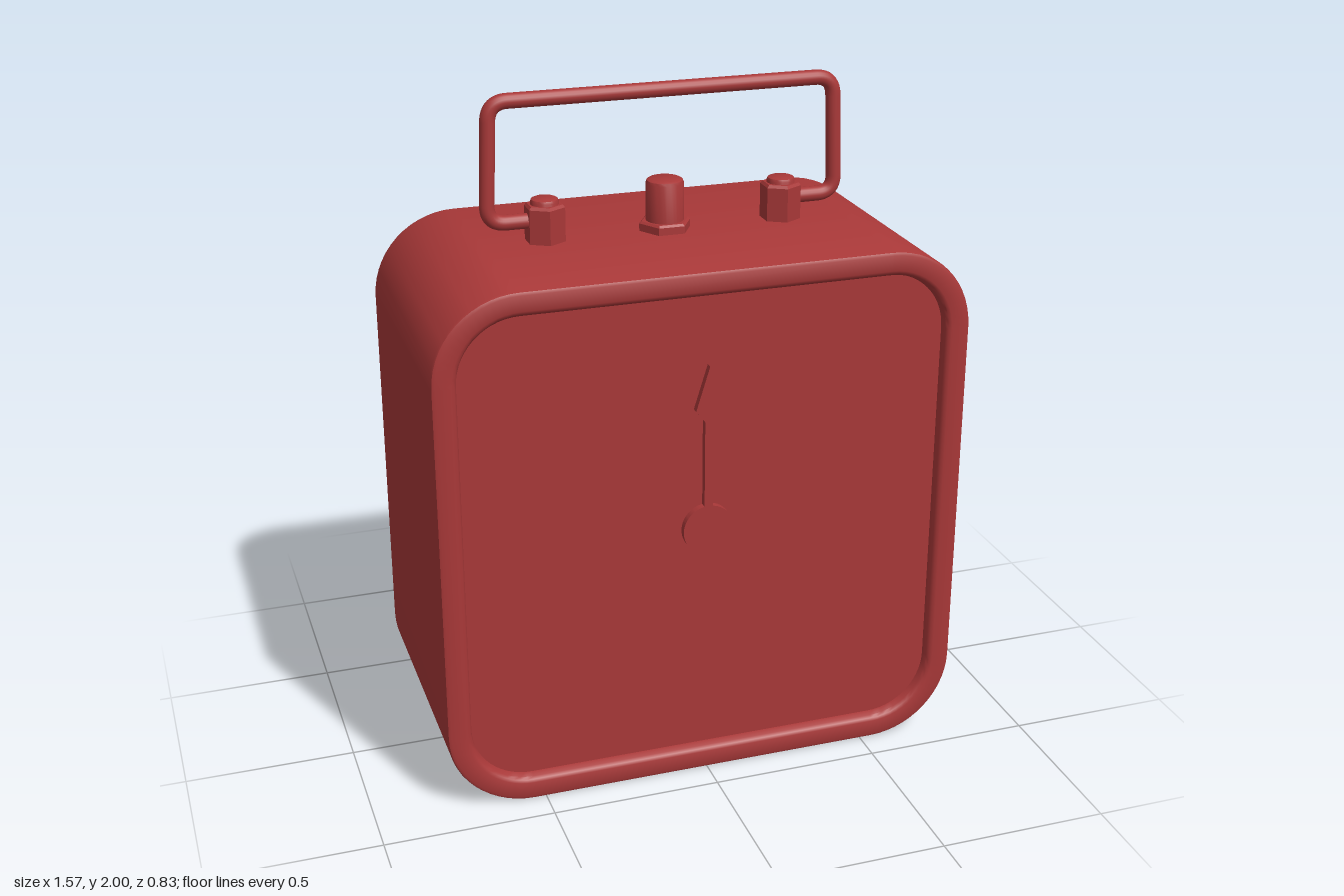
import * as THREE from 'three';
import { toCreasedNormals } from 'three/addons/utils/BufferGeometryUtils.js';

const red = new THREE.MeshStandardMaterial({ color: 0xa83838 });

function part(name, geometry, x = 0, y = 0, z = 0) {
  const mesh = new THREE.Mesh(geometry, red);
  mesh.name = name;
  mesh.position.set(x, y, z);
  return mesh;
}

// Rounded-square rings [inset, z], lofted from back to front and capped
function loftedCase(half, radius, rings) {
  const seg = 14, n = 4 * (seg + 1), pos = [], index = [];
  for (const [inset, z] of rings) {
    const r = radius - inset, c = half - radius;
    for (let q = 0; q < 4; q++) {
      const sx = q === 0 || q === 3 ? 1 : -1, sy = q < 2 ? 1 : -1;
      for (let i = 0; i <= seg; i++) {
        const a = (q + i / seg) * Math.PI / 2;
        pos.push(sx * c + r * Math.cos(a), sy * c + r * Math.sin(a), z);
      }
    }
  }
  const last = rings.length - 1, back = rings.length * n, front = back + 1;
  pos.push(0, 0, rings[0][1], 0, 0, rings[last][1]);
  for (let j = 0; j < n; j++) {
    const k = (j + 1) % n;
    for (let i = 0; i < last; i++) {
      const a = i * n + j, b = i * n + k;
      index.push(a, b, b + n, a, b + n, a + n);
    }
    index.push(back, k, j, front, last * n + j, last * n + k);
  }
  const g = new THREE.BufferGeometry();
  g.setAttribute('position', new THREE.Float32BufferAttribute(pos, 3));
  g.setIndex(index);
  return toCreasedNormals(g, 0.65);
}

// Turned part from [radius, y] points
function turned(points, sides, crease = 0.6) {
  const g = new THREE.LatheGeometry(points.map(([r, y]) => new THREE.Vector2(r, y)), sides);
  return toCreasedNormals(g, crease);
}

// Line through corner points with each corner rounded off
function roundedPath(corners, r) {
  const path = new THREE.CurvePath();
  let from = corners[0];
  for (let i = 1; i < corners.length - 1; i++) {
    const p = corners[i];
    const toward = (q) => p.clone().add(q.clone().sub(p).setLength(r));
    const a = toward(corners[i - 1]), b = toward(corners[i + 1]);
    path.add(new THREE.LineCurve3(from, a));
    path.add(new THREE.QuadraticBezierCurve3(a, p, b));
    from = b;
  }
  path.add(new THREE.LineCurve3(from, corners[corners.length - 1]));
  return path;
}

export function createModel() {
  const model = new THREE.Group();
  model.name = 'dialTimer';

  // Case with rounded back edge and raised front rim around a recessed face
  model.add(part('case', loftedCase(0.785, 0.25, [
    [0.036, -0.415], [0.022, -0.411], [0.009, -0.402], [0.002, -0.39], [0, -0.378],
    [0, 0.401], [0.003, 0.408], [0.011, 0.412],
    [0.056, 0.412], [0.065, 0.408], [0.071, 0.4], [0.075, 0.38],
  ]), 0, 0.785, 0));

  // Pointer: round hub, thin stem and arrow tip
  const hand = new THREE.Shape();
  const a = Math.asin(0.013 / 0.075);
  hand.absarc(0, 0, 0.075, Math.PI / 2 + a, Math.PI * 2.5 - a, false);
  for (const [x, y] of [[0.013, 0.335], [0.04, 0.37], [0, 0.5], [-0.04, 0.37], [-0.013, 0.335]]) {
    hand.lineTo(x, y);
  }
  hand.closePath();
  const handGeometry = new THREE.ExtrudeGeometry(hand, { depth: 0.022, bevelEnabled: false, curveSegments: 40 });
  model.add(part('pointer', toCreasedNormals(handGeometry, 0.5), 0, 0.79, 0.379));

  // Centre knob on a hexagonal flange
  const flange = turned([[0, 0], [0.077, 0], [0.077, 0.024], [0.07, 0.03], [0, 0.03]], 6, 0.3);
  flange.rotateY(Math.PI / 6);
  model.add(part('knobFlange', flange, 0, 1.568, 0));
  model.add(part('knob', turned([
    [0.055, 0], [0.055, 0.14], [0.052, 0.148], [0.045, 0.152], [0, 0.152],
  ], 32), 0, 1.568, 0));

  // Hex posts that hold the handle
  for (const side of [-1, 1]) {
    const post = new THREE.Group();
    post.name = side > 0 ? 'leftPost' : 'rightPost';
    post.position.set(side * 0.356, 1.568, 0);
    post.add(part('hexNut', turned([[0, 0], [0.06, 0], [0.06, 0.102], [0.053, 0.11], [0, 0.11]], 6, 0.3)));
    post.add(part('postCap', turned([
      [0.041, 0], [0.041, 0.117], [0.038, 0.124], [0.031, 0.127], [0, 0.127],
    ], 28)));
    model.add(post);
  }

  // Bent wire handle
  const corners = [[-0.36, 1.632], [-0.524, 1.632], [-0.51, 1.978], [0.51, 1.978], [0.524, 1.632], [0.36, 1.632]]
    .map(([x, y]) => new THREE.Vector3(x, y, 0));
  model.add(part('handle', new THREE.TubeGeometry(roundedPath(corners, 0.055), 240, 0.022, 16, false)));

  return model;
}
